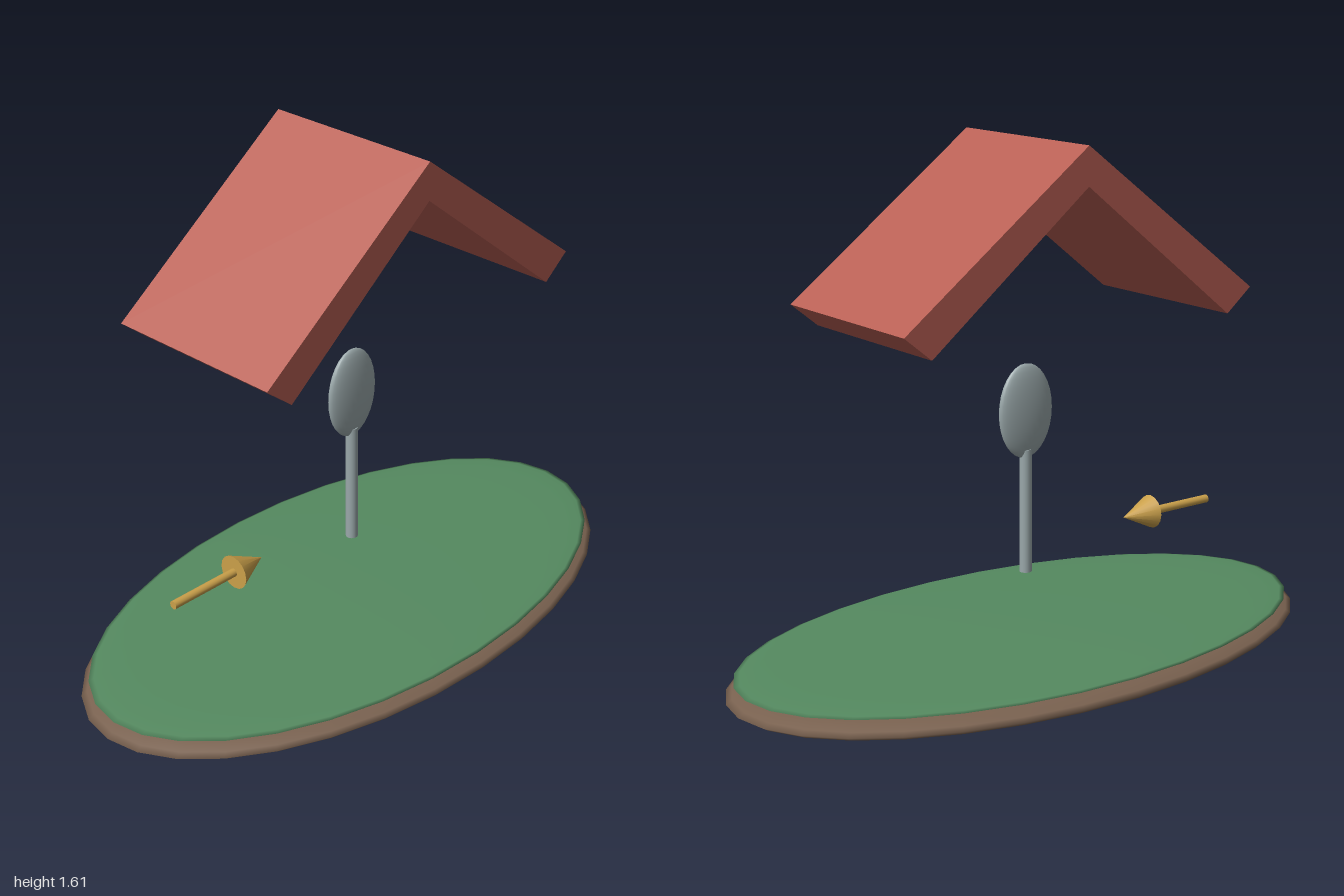
import * as THREE from 'three';

const mat = (color) => new THREE.MeshStandardMaterial({ color });

export function createModel() {
  const model = new THREE.Group();
  const add = (name, geometry, material, x = 0, y = 0, z = 0) => {
    const mesh = new THREE.Mesh(geometry, material);
    mesh.name = name;
    mesh.position.set(x, y, z);
    model.add(mesh);
    return mesh;
  };
  const ellipsoid = (rx, ry, rz) => new THREE.SphereGeometry(1, 32, 16).scale(rx, ry, rz);

  // Flattened oval base: earth below, grass on top
  add('earthBase', ellipsoid(1, 0.06, 0.545), mat(0x7a6250), 0, 0.06);
  add('grassTop', ellipsoid(0.975, 0.02, 0.525), mat(0x558a60), 0, 0.105);

  // Floating spoon
  const metal = mat(0x9aa8aa);
  add('spoonHandle', new THREE.CylinderGeometry(0.019, 0.019, 0.385, 16), metal, 0, 0.4795);
  add('spoonBowl', ellipsoid(0.097, 0.145, 0.026), metal, 0, 0.79);

  // Arrow pointing toward +x
  const gold = mat(0xcaa04a);
  add('arrowShaft', new THREE.CylinderGeometry(0.013, 0.013, 0.24, 16).rotateZ(-Math.PI / 2), gold, -0.613, 0.385);
  add('arrowHead', new THREE.ConeGeometry(0.053, 0.112, 16).rotateZ(-Math.PI / 2), gold, -0.441, 0.385);

  // Gabled roof: chevron section extruded front to back
  const section = new THREE.Shape([
    [0, 1.607], [-0.624, 1.14], [-0.535, 1.068],
    [0, 1.492], [0.535, 1.068], [0.624, 1.14],
  ].map(([x, y]) => new THREE.Vector2(x, y)));
  const depth = 0.588;
  add('roof', new THREE.ExtrudeGeometry(section, { depth, bevelEnabled: false }), mat(0xb85f54), 0, 0, -depth / 2);

  return model;
}
